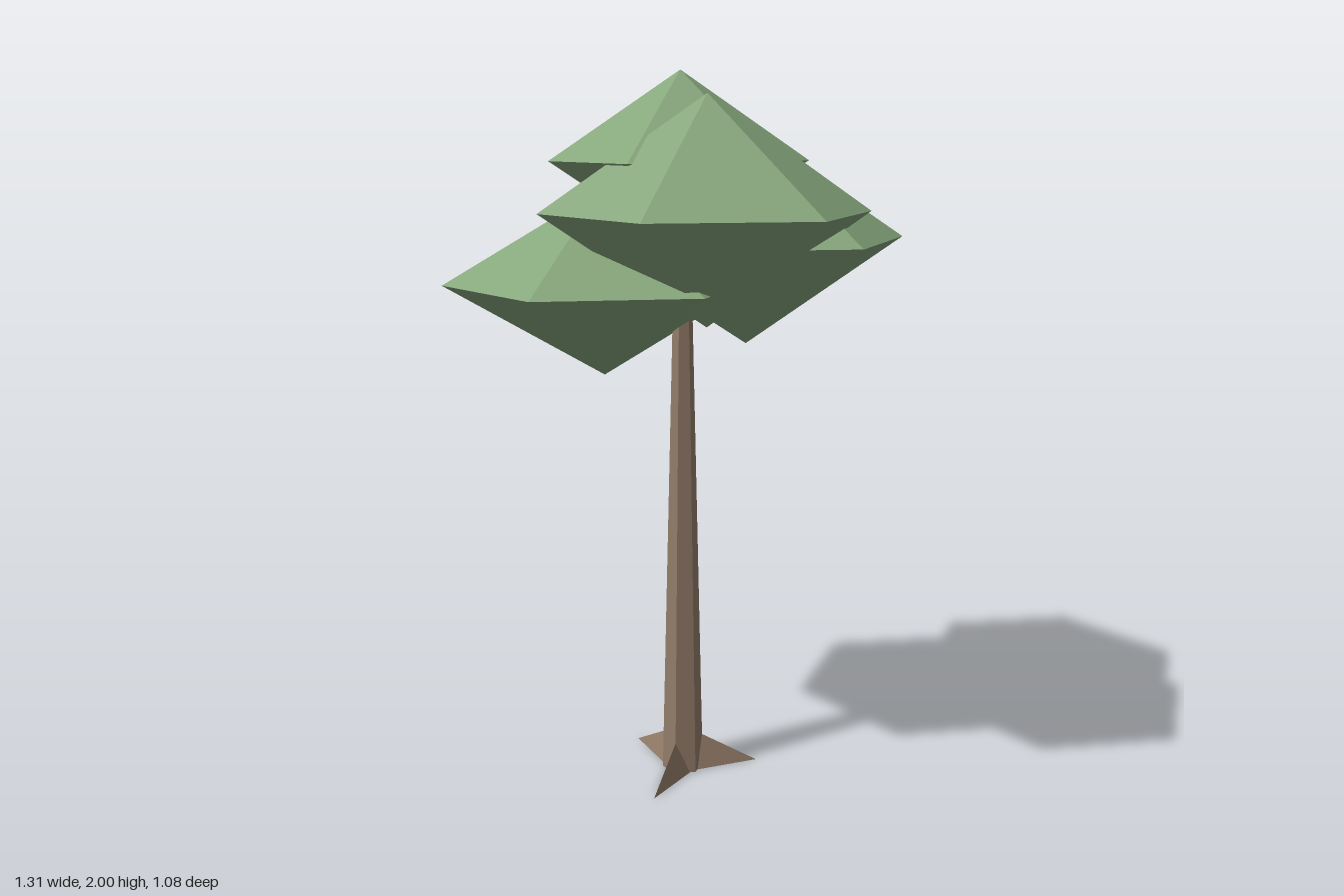
import * as THREE from 'three';

const leaf = new THREE.MeshStandardMaterial({ color: 0x86a67c, flatShading: true });
const bark = new THREE.MeshStandardMaterial({ color: 0x917b68, flatShading: true });

function addMesh(parent, name, geometry, material) {
  const mesh = new THREE.Mesh(geometry, material);
  mesh.name = name;
  parent.add(mesh);
  return mesh;
}

// Three-sided wedge: foot on the ground, ridge sloping from the trunk to a pointed tip
function rootGeometry(inner, width, height, shoulder, tip) {
  const a = [inner, 0, width], b = [inner, 0, -width];
  const top = [shoulder, height, 0], end = [tip, 0, 0];
  const faces = [a, end, top, end, b, top, b, a, top, a, b, end];
  const geometry = new THREE.BufferGeometry();
  geometry.setAttribute('position', new THREE.Float32BufferAttribute(faces.flat(), 3));
  geometry.computeVertexNormals();
  return geometry;
}

export function createModel() {
  const tree = new THREE.Group();
  tree.name = 'tree';

  // Tapered hexagonal trunk, reaching up into the leaves
  const base = new THREE.Group();
  base.name = 'trunkAndRoots';
  base.position.set(-0.005, 0, -0.021);
  tree.add(base);
  const trunk = addMesh(base, 'trunk',
    new THREE.CylinderGeometry(0.024, 0.06, 1.5, 6, 1, false, Math.PI / 2), bark);
  trunk.position.y = 0.75;

  // Three roots spread evenly around the trunk
  for (let i = 0; i < 3; i++) {
    const root = addMesh(base, 'root', rootGeometry(0.04, 0.038, 0.095, 0.056, 0.222), bark);
    root.rotation.y = i * Math.PI * 2 / 3;
  }

  // Leaf clumps: hexagonal double pyramids [name, x, y, z, radius, half height]
  const clumps = [
    ['topLeaves', -0.005, 1.762, -0.062, 0.357, 0.238],
    ['frontLeaves', 0.032, 1.637, 0.158, 0.437, 0.298],
    ['leftLeaves', 0.197, 1.545, -0.145, 0.456, 0.3],
    ['rightLeaves', -0.218, 1.435, -0.062, 0.437, 0.255],
  ];
  for (const [name, x, y, z, radius, half] of clumps) {
    const clump = addMesh(tree, name, new THREE.SphereGeometry(1, 6, 2), leaf);
    clump.position.set(x, y, z);
    clump.scale.set(radius, half, radius);
  }

  return tree;
}
